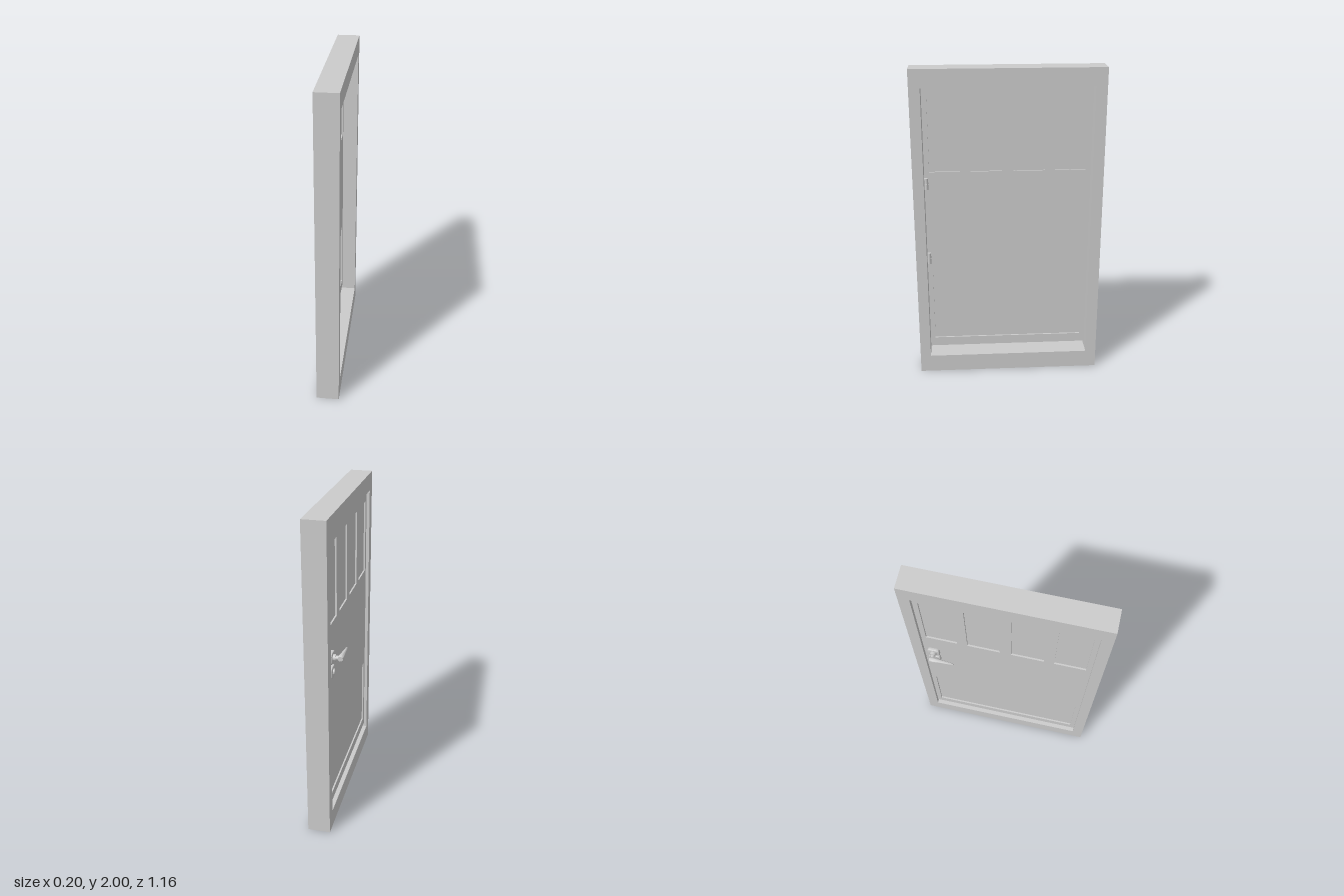
import * as THREE from 'three';
import { toCreasedNormals } from 'three/addons/utils/BufferGeometryUtils.js';

const material = new THREE.MeshStandardMaterial({ color: 0xcccccc });

function add(parent, name, geometry, x = 0, y = 0, z = 0) {
  const mesh = new THREE.Mesh(geometry, material);
  mesh.name = name;
  mesh.position.set(x, y, z);
  parent.add(mesh);
  return mesh;
}

// Rectangle in the (z, y) plane
function rect(z0, z1, y0, y1, PathType = THREE.Path) {
  return new PathType([[z0, y0], [z1, y0], [z1, y1], [z0, y1]].map(p => new THREE.Vector2(...p)));
}

// Rounded rectangle centred on the origin
function roundedRect(w, h, r) {
  const s = new THREE.Shape(), a = w / 2 - r, b = h / 2 - r;
  s.absarc(a, b, r, 0, Math.PI / 2);
  s.absarc(-a, b, r, Math.PI / 2, Math.PI);
  s.absarc(-a, -b, r, Math.PI, Math.PI * 1.5);
  s.absarc(a, -b, r, Math.PI * 1.5, Math.PI * 2);
  s.closePath();
  return s;
}

// Extrude a (z, y) shape from x = 0 towards -x
function slab(shape, depth, bevel = 0) {
  const g = new THREE.ExtrudeGeometry(shape, {
    depth: depth - bevel, curveSegments: 8, bevelEnabled: bevel > 0,
    bevelSize: bevel, bevelThickness: bevel, bevelOffset: -bevel, bevelSegments: 3,
  });
  g.rotateY(-Math.PI / 2);
  return toCreasedNormals(g, 0.6);
}

// Cylinder whose axis runs along x
const disc = (r, length) => new THREE.CylinderGeometry(r, r, length, 28).rotateZ(Math.PI / 2);

// Tapering lever: each section is [z, x centre, half width, half height]
function leverGeometry() {
  const sections = [
    [-0.466, -0.083, 0.014, 0.015], [-0.462, -0.083, 0.017, 0.018], [-0.445, -0.083, 0.019, 0.02],
    [-0.425, -0.0835, 0.0175, 0.0195], [-0.40, -0.085, 0.014, 0.018], [-0.36, -0.086, 0.0105, 0.015],
    [-0.325, -0.0865, 0.0075, 0.011], [-0.314, -0.087, 0.005, 0.007],
  ];
  const n = sections.length - 1;
  const g = new THREE.CylinderGeometry(1, 1, 1, 24, n).rotateX(Math.PI / 2);
  const p = g.attributes.position;
  for (let i = 0; i < p.count; i++) {
    const [z, cx, rx, ry] = sections[Math.round((p.getZ(i) + 0.5) * n)];
    p.setXYZ(i, cx + p.getX(i) * rx, p.getY(i) * ry, z);
  }
  return toCreasedNormals(g, 0.9);
}

export function createModel() {
  const model = new THREE.Group();
  model.name = 'framedDoor';

  // Surrounding frame
  const frame = rect(-0.582, 0.582, 0, 2, THREE.Shape);
  frame.holes.push(rect(-0.515, 0.515, 0.114, 1.89));
  add(model, 'frame', slab(frame, 0.14), 0.1);

  // Door leaf with openings for four upper panels and one lower panel
  const panels = [[-0.484, 0.484, 0.198, 0.66]];
  for (const [a, b] of [[0.293, 0.484], [0.034, 0.231]]) {
    panels.push([a, b, 1.354, 1.826], [-b, -a, 1.354, 1.826]);
  }
  const door = new THREE.Group();
  door.name = 'door';
  model.add(door);
  const leaf = rect(-0.515, 0.515, 0.138, 1.88, THREE.Shape);
  panels.forEach(p => leaf.holes.push(rect(...p)));
  add(door, 'doorLeaf', slab(leaf, 0.026), 0.006);

  // Thin panels recessed on both faces
  panels.forEach(([z0, z1, y0, y1], i) => {
    add(door, i ? 'upperPanel' : 'lowerPanel', new THREE.BoxGeometry(0.006, y1 - y0, z1 - z0),
      -0.007, (y0 + y1) / 2, (z0 + z1) / 2);
  });

  // Hinges: leaf plate, two knuckles and a pin
  for (const y of [1.283, 0.783]) {
    const hinge = new THREE.Group();
    hinge.name = 'hinge';
    hinge.position.set(0.017, y, 0.503);
    model.add(hinge);
    add(hinge, 'hingePlate', new THREE.BoxGeometry(0.012, 0.07, 0.022), -0.006);
    for (const s of [-1, 1]) {
      add(hinge, 'hingeKnuckle', new THREE.CylinderGeometry(0.012, 0.012, 0.035, 20), 0, s * 0.019);
    }
    add(hinge, 'hingePin', new THREE.CylinderGeometry(0.009, 0.009, 0.07, 16));
  }

  // Handle set
  const handle = new THREE.Group();
  handle.name = 'handleSet';
  handle.position.set(0, 1.16, -0.452);
  model.add(handle);
  const plate = roundedRect(0.075, 0.072, 0.018);
  add(handle, 'handlePlate', slab(plate, 0.018, 0.004), -0.02);
  add(handle, 'handleCollar', disc(0.02, 0.02), -0.044);
  add(handle, 'handleNeck', disc(0.013, 0.035), -0.064);
  add(handle, 'lever', leverGeometry(), 0, 0, 0.452);

  // Lock plate and its boss with a keyhole
  add(handle, 'lockPlate', slab(plate, 0.018, 0.004), -0.02, -0.092);
  const boss = new THREE.Shape().absarc(0, 0, 0.018, 0, Math.PI * 2);
  boss.holes.push(rect(-0.003, 0.003, -0.011, 0.009));
  add(handle, 'keyhole', slab(boss, 0.01), -0.036, -0.092);

  return model;
}
